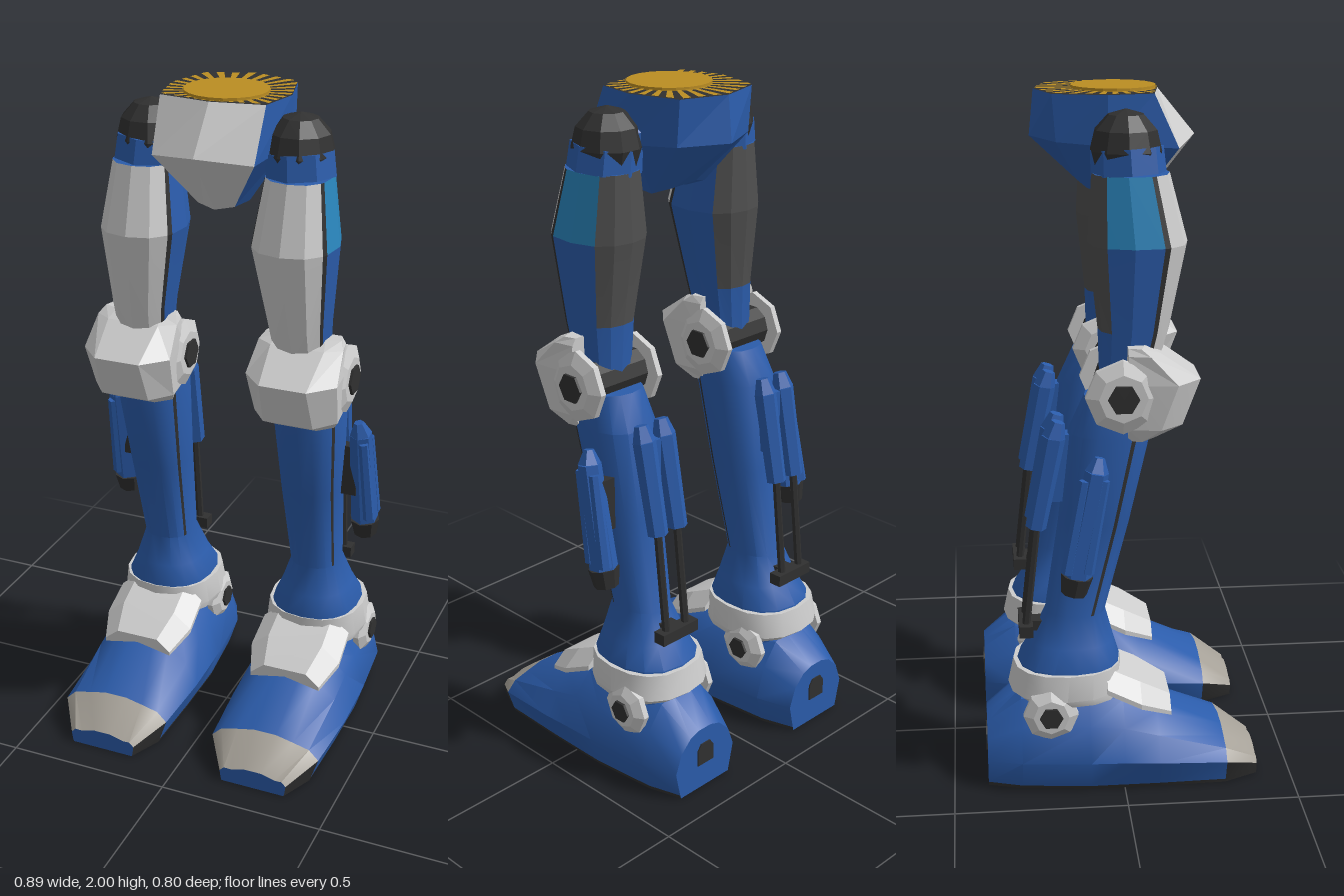
import * as THREE from 'three';
import { toCreasedNormals } from 'three/addons/utils/BufferGeometryUtils.js';

const paint = (name, color) => Object.assign(new THREE.MeshStandardMaterial({ color }), { name });

export function createModel() {
  const blue = paint('blue armour', 0x2b5cab), white = paint('pale armour', 0xcdcdcd);
  const dark = paint('dark joint', 0x303030), grey = paint('grey panel', 0x4f4f4f);
  const toe = paint('toe cap grey', 0xa5a097), yellow = paint('yellow deck', 0xbb8d22);
  const cyan = paint('light blue panel', 0x2a86bd);

  function add(parent, name, geo, mat, x = 0, y = 0, z = 0) {
    const m = new THREE.Mesh(geo, mat);
    m.name = name;
    m.position.set(x, y, z);
    parent.add(m);
    return m;
  }
  const flat = (g) => { g = g.index ? g.toNonIndexed() : g; g.computeVertexNormals(); return g; };

  // Skin over closed rings; pick(row, column) gives the material, row 'start' / 'end' are the caps
  function loft(parent, name, rings, pick, crease = 0.1) {
    const lists = new Map(), n = rings[0].length;
    const tri = (mat, ...p) => {
      if (!lists.has(mat)) lists.set(mat, []);
      lists.get(mat).push(...p.flat());
    };
    for (let i = 0; i < rings.length - 1; i++) for (let j = 0; j < n; j++) {
      const k = (j + 1) % n, a = rings[i][j], b = rings[i][k], c = rings[i + 1][k], d = rings[i + 1][j];
      tri(pick(i, j), a, b, c);
      tri(pick(i, j), a, c, d);
    }
    [['start', rings[0]], ['end', rings[rings.length - 1]]].forEach(([row, r]) => {
      const mid = [0, 1, 2].map((q) => r.reduce((s, p) => s + p[q], 0) / n);
      for (let j = 0; j < n; j++) {
        const k = (j + 1) % n;
        if (row === 'end') tri(pick(row, j), mid, r[j], r[k]);
        else tri(pick(row, j), mid, r[k], r[j]);
      }
    });
    const geo = new THREE.BufferGeometry(), all = [], mats = [];
    lists.forEach((list, mat) => {
      geo.addGroup(all.length / 3, list.length / 3, mats.length);
      mats.push(mat);
      for (const v of list) all.push(v);
    });
    geo.setAttribute('position', new THREE.Float32BufferAttribute(all, 3));
    return add(parent, name, toCreasedNormals(geo, crease), mats.length > 1 ? mats : mats[0]);
  }

  // Oval ring at height y, points at the given angles (degrees from the front towards +x)
  const oval = (angles, [y, hx, hz, cx, cz]) => angles.map((deg) => {
    const t = deg * Math.PI / 180, s = Math.sin(t), c = Math.cos(t), e = 0.85;
    return [cx + hx * Math.sign(s) * Math.abs(s) ** e, y, cz + hz * Math.sign(c) * Math.abs(c) ** e];
  });
  const mirrored = (half) => [...half, ...half.filter((a) => a % 180 !== 0).reverse().map((a) => 360 - a)];

  // Straight rod between two points
  function rod(parent, name, mat, from, to, rFrom, rTo, sides = 6) {
    const a = new THREE.Vector3(...from), b = new THREE.Vector3(...to), dir = b.clone().sub(a);
    const m = add(parent, name, flat(new THREE.CylinderGeometry(rTo, rFrom, dir.length(), sides)), mat);
    m.position.copy(a).add(b).multiplyScalar(0.5);
    m.quaternion.setFromUnitVectors(new THREE.Vector3(0, 1, 0), dir.normalize());
    return m;
  }
  // Bevelled octagonal joint disc with a dark hexagonal hub on both sides of a limb
  function discs(parent, name, cx, y, z, inner, r) {
    for (const s of [-1, 1]) {
      const at = (d) => [cx + s * (inner + d), y, z];
      rod(parent, name + 'Disc', white, at(0), at(0.018), r, r, 8);
      rod(parent, name + 'Bevel', white, at(0.018), at(0.035), r, r * 0.65, 8);
      rod(parent, name + 'Hub', dark, at(0.03), at(0.043), r * 0.42, r * 0.42, 6);
    }
  }

  const model = new THREE.Group();
  model.name = 'walkerLegs';

  // Pelvis: pale pointed front, blue sides and back
  const pelvis = new THREE.Group();
  pelvis.name = 'pelvis';
  model.add(pelvis);
  const sym = (p) => [...p, ...p.slice(1, -1).reverse().map(([x, y, z]) => [-x, y, z])];
  const rim = sym([[0, 1.99, 0.125], [0.155, 1.99, 0.1], [0.18, 1.99, -0.03], [0.14, 1.99, -0.18], [0, 1.99, -0.225]]);
  loft(pelvis, 'pelvisShell', [
    sym([[0, 1.68, 0.09], [0.055, 1.69, 0.075], [0.07, 1.69, 0], [0.06, 1.72, -0.08], [0, 1.735, -0.105]]),
    sym([[0, 1.86, 0.232], [0.15, 1.84, 0.17], [0.172, 1.85, -0.03], [0.14, 1.86, -0.17], [0, 1.86, -0.238]]),
    rim,
  ], (i, j) => (i === 'start' ? blue : i === 'end' ? dark : j === 0 || j === 7 ? white : blue));

  // Deck: yellow rays out to the rim and a round yellow centre
  const edge = (t) => {
    const dx = Math.sin(t), dz = Math.cos(t);
    for (let j = 0; j < rim.length; j++) {
      const [ax, , az] = rim[j], [bx, , bz] = rim[(j + 1) % rim.length];
      const ex = bx - ax, ez = bz - az, det = dx * ez - dz * ex;
      const r = (ax * ez - az * ex) / det, u = (ax * dz - az * dx) / det;
      if (r > 0 && u >= -1e-6 && u <= 1.000001) return [dx * r, 1.993, dz * r];
    }
    return [0, 1.993, 0];
  };
  const rays = [];
  for (let k = 0; k < 30; k++) {
    const t = k * Math.PI / 15 + 0.01;
    rays.push(0, 1.993, 0, ...edge(t), ...edge(t + Math.PI / 30));
  }
  const rayGeo = new THREE.BufferGeometry();
  rayGeo.setAttribute('position', new THREE.Float32BufferAttribute(rays, 3));
  add(pelvis, 'deckRays', flat(rayGeo), yellow);
  add(pelvis, 'deckCentre', flat(new THREE.CylinderGeometry(0.12, 0.12, 0.009, 20)), yellow, 0, 1.9955, 0);

  // Left leg
  const leg = new THREE.Group();
  leg.name = 'leftLeg';

  // Hip dome and rim
  rod(leg, 'hipRim', blue, [0.228, 1.785, 0.022], [0.222, 1.855, 0.018], 0.104, 0.1, 8);
  const dome = add(leg, 'hipDome', flat(new THREE.SphereGeometry(0.1, 10, 6)), dark, 0.222, 1.85, 0.015);
  dome.scale.y = 1.1;
  rod(leg, 'hipAxle', blue, [0.1, 1.88, -0.02], [0.2, 1.86, 0.01], 0.06, 0.06, 8);

  // Thigh: pale front, dark seams, outer light panel, grey back
  const thighAngles = mirrored([0, 30, 58, 66, 95, 128, 155, 180]);
  const thighRings = [[1.17, 0.07, 0.07, 0.25, 0.01], [1.36, 0.088, 0.1, 0.243, 0.035], [1.6, 0.12, 0.138, 0.23, 0.047],
    [1.79, 0.092, 0.107, 0.23, 0.027]].map((r) => oval(thighAngles, r));
  loft(leg, 'thigh', thighRings, (i, j) => {
    const c = Math.min(j, 13 - j);
    if (typeof i === 'string') return blue;
    if (c < 2) return white;
    if (c === 2) return dark;
    if (c >= 5) return i > 0 ? grey : blue;
    return i === 2 && j < 7 ? cyan : blue;
  });

  // Knee
  rod(leg, 'kneeAxle', dark, [0.13, 1.195, -0.005], [0.38, 1.195, -0.005], 0.065, 0.065, 10);
  discs(leg, 'knee', 0.255, 1.195, -0.005, 0.1, 0.105);
  loft(leg, 'kneeCap', [[1.06, 0.05, 0.09, 0.1, 0.06], [1.1, 0.1, 0.165, 0.127, 0.075], [1.23, 0.145, 0.215, 0.137, 0.07],
    [1.31, 0.07, 0.1, 0.127, 0.08], [1.33, 0.045, 0.06, 0.113, 0.07]].map(([y, zs, zf, hw, fw]) =>
    [[-fw, zf], [fw, zf], [hw, zs], [hw * 0.9, 0.01], [-hw * 0.9, 0.01], [-hw, zs]].map(([x, z]) => [0.255 + x, y, z])),
  () => white);

  // Shin with dark seams beside the front plate, flaring to the ankle
  const shinAngles = mirrored([0, 20, 40, 58, 65, 85, 105, 130, 155, 180]);
  loft(leg, 'shin', [[0.26, 0.13, 0.15, 0.25, -0.16], [0.37, 0.135, 0.15, 0.25, -0.155], [0.43, 0.108, 0.122, 0.25, -0.145],
    [0.52, 0.077, 0.088, 0.25, -0.135], [0.8, 0.09, 0.103, 0.25, -0.078], [1.07, 0.105, 0.118, 0.253, -0.033],
    [1.17, 0.085, 0.095, 0.25, -0.01]].map((r) => oval(shinAngles, r)),
  (i, j) => ((j === 3 || j === 14) && i >= 3 && i <= 4 ? dark : blue), 0.6);

  // Rear twin pistons
  for (const x of [0.213, 0.29]) {
    rod(leg, 'pistonShoulder', blue, [x, 1.06, -0.193], [x, 1.105, -0.18], 0.034, 0.02);
    rod(leg, 'pistonBarrel', blue, [x, 0.79, -0.247], [x, 1.06, -0.193], 0.03, 0.034);
    rod(leg, 'pistonRod', dark, [x, 0.48, -0.28], [x, 0.8, -0.245], 0.012, 0.012);
  }
  add(leg, 'pistonBracket', new THREE.BoxGeometry(0.05, 0.2, 0.09), blue, 0.25, 0.96, -0.165);
  add(leg, 'pistonFoot', new THREE.BoxGeometry(0.14, 0.035, 0.04), dark, 0.25, 0.475, -0.28);
  add(leg, 'pistonFootMount', new THREE.BoxGeometry(0.05, 0.03, 0.08), dark, 0.25, 0.475, -0.23);

  // Outer thruster pod
  const pod = new THREE.Group();
  pod.name = 'thrusterPod';
  leg.add(pod);
  rod(pod, 'podTip', blue, [0.395, 0.99, -0.08], [0.39, 1.03, -0.072], 0.034, 0.015);
  rod(pod, 'podBody', blue, [0.4, 0.68, -0.138], [0.395, 0.99, -0.08], 0.042, 0.034);
  rod(pod, 'podRib', blue, [0.42, 0.7, -0.165], [0.41, 0.97, -0.115], 0.02, 0.016);
  rod(pod, 'podRib', blue, [0.42, 0.7, -0.11], [0.41, 0.97, -0.06], 0.02, 0.016);
  rod(pod, 'podNozzle', dark, [0.4, 0.63, -0.147], [0.4, 0.685, -0.137], 0.036, 0.046, 8);
  rod(pod, 'podGlow', cyan, [0.4, 0.627, -0.1475], [0.4, 0.633, -0.1465], 0.02, 0.02, 8);
  add(pod, 'podBracket', new THREE.BoxGeometry(0.07, 0.16, 0.035), dark, 0.35, 0.86, -0.1);

  // Ankle collar, flap and discs
  const collarAngles = mirrored([0, 22.5, 45, 67.5, 90, 112.5, 135, 157.5, 180]);
  loft(leg, 'ankleCollar', [[0.27, 0.15, 0.155, 0.25, -0.155], [0.29, 0.158, 0.167, 0.25, -0.167],
    [0.365, 0.148, 0.158, 0.25, -0.16]].map((r) => oval(collarAngles, r)), () => white, 0.5);
  loft(leg, 'ankleFlap', [[-0.05, 0.36, 1], [0.05, 0.312, 1.03], [0.14, 0.26, 0.8]].map(([z, y, w]) =>
    [[0.14, -0.06], [0.14, -0.045], [0.085, 0], [-0.085, 0], [-0.14, -0.045], [-0.14, -0.06], [-0.085, -0.018], [0.085, -0.018]]
      .map(([x, dy]) => [0.25 + x * w, y + dy * w, z])), () => white);
  discs(leg, 'ankle', 0.252, 0.245, -0.215, 0.125, 0.08);

  // Foot: blue shell, grey toe cap, dark sole
  loft(leg, 'foot', [[-0.4, 0.1, 0.12, 0.09, 0.2, 0.06], [-0.3, 0.13, 0.163, 0.1, 0.28, 0.08], [-0.1, 0.15, 0.182, 0.1, 0.285, 0.09],
    [0, 0.15, 0.186, 0.1, 0.27, 0.09], [0.1, 0.15, 0.187, 0.095, 0.225, 0.09], [0.3, 0.145, 0.172, 0.08, 0.135, 0.09],
    [0.4, 0.1, 0.106, 0.035, 0.06, 0.07]].map(([z, wb, w, ym, h, wt]) => {
    const half = [[wb, 0], [wb * 1.03, 0.012], [w, ym], [(w * 1.7 + wt) / 2.7, ym + (h - ym) * 0.55], [wt, h - 0.012], [wt * 0.4, h]];
    return [...half, ...half.slice().reverse().map(([x, y]) => [-x, y])].map(([x, y]) => [0.25 + x, y, z]);
  }), (i, j) => {
    const c = Math.min(j, 10 - j);
    if (typeof i === 'string') return blue;
    if (c <= 0) return dark;
    if (i === 5) return c === 1 ? dark : toe;
    return blue;
  }, 0.65);

  // Heel port
  const arch = new THREE.Shape();
  arch.moveTo(-0.032, 0).lineTo(0.032, 0).lineTo(0.032, 0.05).lineTo(0.018, 0.07).lineTo(-0.018, 0.07).lineTo(-0.032, 0.05);
  add(leg, 'heelPort', new THREE.ExtrudeGeometry(arch, { depth: 0.006, bevelEnabled: false }), dark, 0.25, 0.08, -0.404);

  // Mirror for the right leg
  const right = leg.clone();
  right.name = 'rightLeg';
  right.scale.x = -1;
  model.add(leg, right);
  return model;
}
